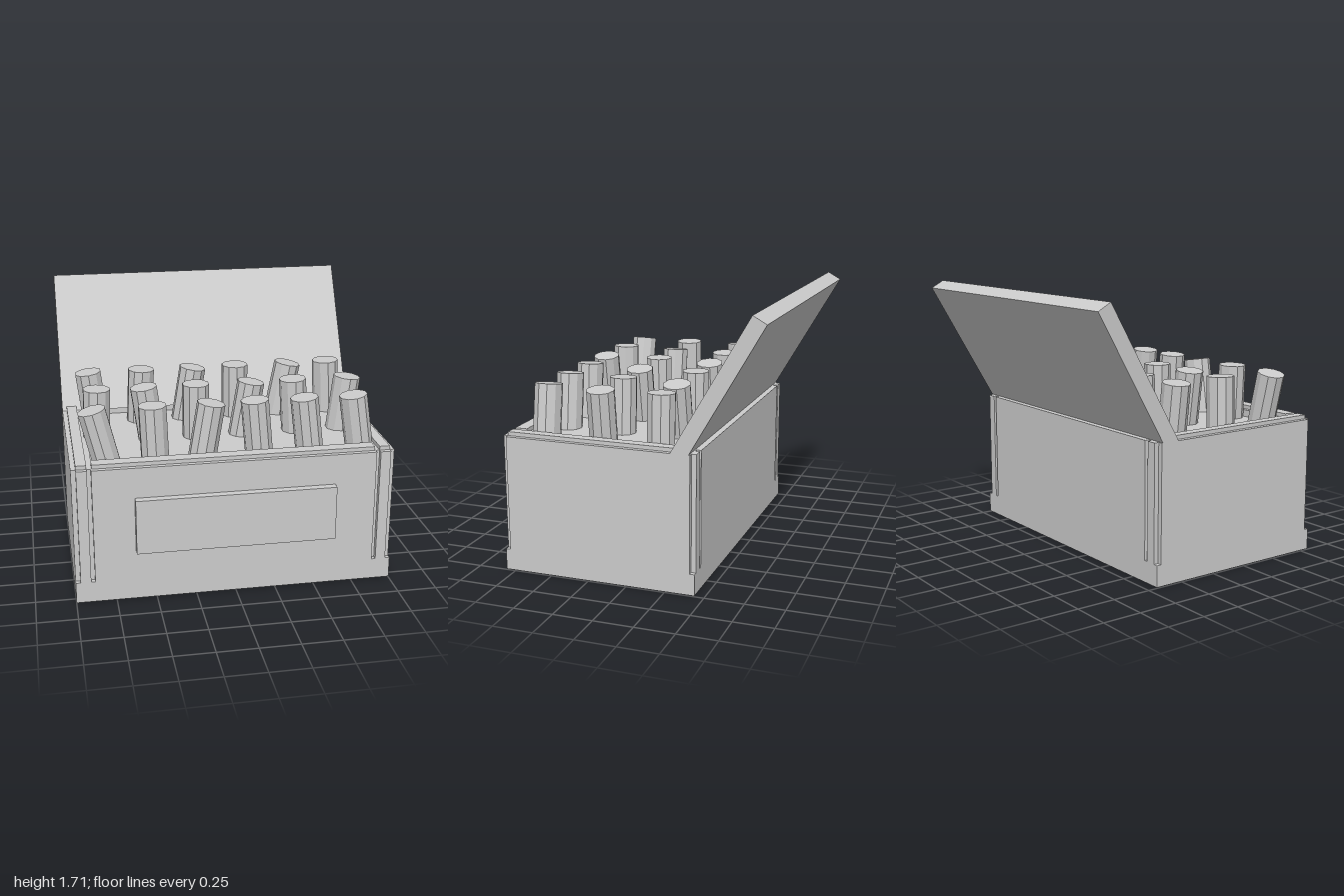
import * as THREE from 'three';

export function createModel() {
  const model = new THREE.Group();
  const grey = new THREE.MeshStandardMaterial({ color: 0xcccccc, flatShading: true });
  grey.name = 'light grey';

  const add = (name, geometry, parent = model) => {
    const mesh = new THREE.Mesh(geometry, grey);
    mesh.name = name;
    parent.add(mesh);
    return mesh;
  };
  // Box given by its low and high corners
  const box = (name, x0, x1, y0, y1, z0, z1) =>
    add(name, new THREE.BoxGeometry(x1 - x0, y1 - y0, z1 - z0))
      .position.set((x0 + x1) / 2, (y0 + y1) / 2, (z0 + z1) / 2);

  // Base band with a thin plate beneath
  box('base', -1, 1, 0.005, 0.14, -0.44, 0.81);
  box('bottomPlate', -0.97, 0.97, 0, 0.005, -0.41, 0.78);

  // Side walls, each with a corner tongue and a raised rim
  for (const [side, s] of [['left', 1], ['right', -1]]) {
    const wall = (name, a, b, ...rest) =>
      box(side + name, Math.min(s * a, s * b), Math.max(s * a, s * b), ...rest);
    wall('Wall', 0.87, 1, 0.14, 0.875, -0.41, 0.78);
    wall('CornerTongue', 0.905, 0.97, 0.14, 0.875, -0.44, 0.81);
    wall('Rim', 0.905, 0.97, 0.875, 0.9, -0.31, 0.78);
  }

  // Front and back walls
  box('frontWall', -0.88, 0.88, 0.14, 0.875, 0.67, 0.81);
  box('frontRim', -0.875, 0.875, 0.875, 0.9, 0.7, 0.78);
  box('backWall', -0.88, 0.88, 0.14, 0.875, -0.44, -0.31);
  box('frontLabelPanel', -0.625, 0.62, 0.33, 0.68, 0.81, 0.86);

  // Tray holding the sticks
  box('tray', -0.87, 0.87, 0.14, 0.83, -0.31, 0.67);

  // Open lid, leaning back
  const profile = new THREE.Shape([
    [-0.285, 0.873], [-0.77, 1.71], [-0.855, 1.662], [-0.4, 0.873],
  ].map(([z, y]) => new THREE.Vector2(-z, y)));
  const lid = new THREE.ExtrudeGeometry(profile, { depth: 2, bevelEnabled: false });
  lid.translate(0, 0, -1).rotateY(Math.PI / 2);
  add('lid', lid);

  // Three rows of leaning sticks; values are base x and sideways lean of the top
  const rows = [
    [-0.165, [[-0.78, -0.04], [-0.485, 0.015], [-0.18, 0.055], [0.17, 0], [0.465, 0.065], [0.82, -0.015]]],
    [0.21, [[-0.805, 0.01], [-0.445, -0.045], [-0.157, 0], [0.145, 0.055], [0.505, -0.02], [0.805, 0.04]]],
    [0.585, [[-0.765, -0.08], [-0.47, -0.012], [-0.18, 0.055], [0.185, -0.03], [0.51, -0.04], [0.835, -0.05]]],
  ];
  const sticks = new THREE.Group();
  sticks.name = 'sticks';
  model.add(sticks);
  const stickGeometry = new THREE.CylinderGeometry(0.088, 0.088, 0.37, 10);
  stickGeometry.translate(0, 0.185, 0);
  for (const [z, row] of rows) {
    for (const [x, lean] of row) {
      const stick = add('stick', stickGeometry, sticks);
      stick.position.set(x, 0.815, z);
      stick.rotation.z = -Math.atan2(lean, 0.33);
    }
  }
  return model;
}
